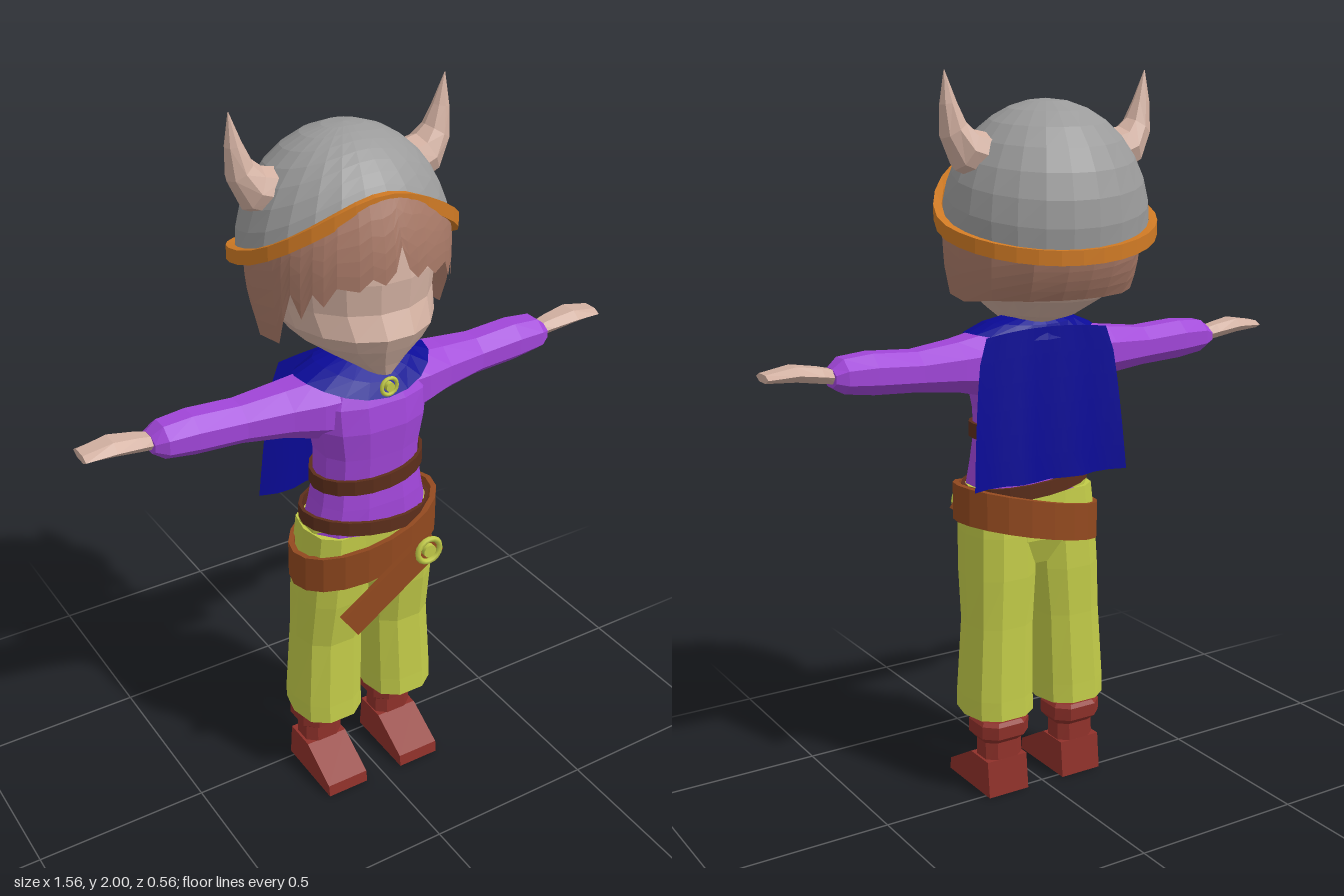
import * as THREE from 'three';

const { sin, cos, PI, sqrt, abs, sign } = Math;
const V = (x, y, z) => new THREE.Vector3(x, y, z);
const range = (n, f) => Array.from({ length: n }, (_, i) => f(i));

const mat = (name, color, side = THREE.FrontSide) => {
  const m = new THREE.MeshStandardMaterial({ color, side });
  m.name = name;
  return m;
};

// Faceted skin over closed rings; flip reverses the winding for mirrored parts
function loft(rings, { caps = true, flip = false } = {}) {
  const pos = [];
  const tri = (a, b, c) => (flip ? [a, c, b] : [a, b, c]).forEach((p) => pos.push(p.x, p.y, p.z));
  const n = rings[0].length;
  for (let i = 0; i < rings.length - 1; i++) {
    for (let j = 0; j < n; j++) {
      const k = (j + 1) % n, lo = rings[i], hi = rings[i + 1];
      tri(lo[j], lo[k], hi[k]);
      tri(lo[j], hi[k], hi[j]);
    }
  }
  if (caps) {
    const first = rings[0], last = rings[rings.length - 1];
    const mid = (r) => r.reduce((s, p) => s.add(p), V(0, 0, 0)).divideScalar(n);
    const a = mid(first), b = mid(last);
    for (let j = 0; j < n; j++) {
      const k = (j + 1) % n;
      tri(a, first[k], first[j]);
      tri(b, last[j], last[k]);
    }
  }
  const g = new THREE.BufferGeometry();
  g.setAttribute('position', new THREE.Float32BufferAttribute(pos, 3));
  g.computeVertexNormals();
  return g;
}

// Horizontal oval; square < 1 makes it boxier
function oval(y, rx, zf, zb, n = 12, cx = 0, square = 0.8) {
  const pw = (v) => sign(v) * abs(v) ** square;
  return range(n, (j) => {
    const a = ((j + 0.5) / n) * 2 * PI;
    return V(cx + rx * pw(sin(a)), y, (zf + zb) / 2 + ((zf - zb) / 2) * pw(cos(a)));
  });
}

// Closed strap of height h and thickness t along path(angle)
function band(path, h, t, n = 20) {
  const ring = (dr, dy) => range(n, (j) => {
    const a = (j / n) * 2 * PI, p = path(a);
    return V(p.x + dr * sin(a), p.y + dy, p.z + dr * cos(a));
  });
  const bottom = ring(t, -h / 2);
  return loft([bottom, ring(t, h / 2), ring(0, h / 2), ring(0, -h / 2), bottom], { caps: false });
}
const tilted = (y, slope, rx, zf, zb) => (a) =>
  V(rx * sin(a), y + slope * rx * sin(a), (zf + zb) / 2 + ((zf - zb) / 2) * cos(a));

// Helmet is an ellipsoid cut off by a wavy brim
const brimY = (a) => 1.62 + 0.07 * cos(a) + 0.11 * Math.max(cos(a), 0) ** 2 - 0.02 * sin(a);
const domePoint = (a, t) => V(0.28 * sin(a) * cos(t), 1.62 + 0.31 * sin(t), -0.02 + 0.255 * cos(a) * cos(t));
const brimT = (a) => Math.asin((brimY(a) - 1.62) / 0.31);

export function createModel() {
  const model = new THREE.Group();
  model.name = 'hornedHelmetVillager';
  const D = THREE.DoubleSide;
  const skin = mat('skin', 0xd2b0a1), hair = mat('hair', 0xa87967, D), steel = mat('steel', 0x9b9b9b);
  const brass = mat('orangeTrim', 0xd07a24), purple = mat('purpleCloth', 0xa146d9);
  const blue = mat('blueCloth', 0x0a0a96, D), darkLeather = mat('darkLeather', 0x5c2e1b);
  const leather = mat('leather', 0x92491f), lime = mat('limeCloth', 0xc2cb48), red = mat('redLeather', 0x8f312a);
  const add = (name, geo, material, x = 0, y = 0, z = 0) => {
    const m = new THREE.Mesh(geo, material);
    m.name = name;
    m.position.set(x, y, z);
    model.add(m);
    return m;
  };

  // Head and neck
  add('head', loft([
    [1.335, 0.04, 0.2, 0.02], [1.37, 0.1, 0.215, -0.1], [1.42, 0.17, 0.24, -0.18], [1.46, 0.198, 0.258, -0.21],
    [1.52, 0.21, 0.228, -0.225], [1.6, 0.22, 0.232, -0.23], [1.7, 0.2, 0.215, -0.2], [1.76, 0.16, 0.17, -0.15],
  ].map(([y, rx, f, b]) => oval(y, rx, f, b, 16, 0, 1))), skin);
  add('neck', new THREE.CylinderGeometry(0.055, 0.065, 0.16, 10), skin, 0, 1.33, 0.06);

  // Hair: ragged fringe at the front, longer at sides and back
  const edge = [[4, 1.64], [10, 1.61], [17, 1.63], [24, 1.6], [36, 1.61], [43, 1.56], [49, 1.59], [56, 1.52],
    [62, 1.58], [68, 1.5], [74, 1.43], [95, 1.42], [120, 1.43], [145, 1.43], [165, 1.43]];
  const lock = [...edge.slice().reverse().map(([d, y]) => [-d, y]), [0, 1.7], ...edge, [180, 1.43]];
  const hairPoint = (a, y) => {
    const up = y > 1.62 ? sqrt(1 - ((y - 1.62) / 0.33) ** 2) : 1;
    const low = Math.max(0, 1.58 - y) ** 2;
    const c = cos(a);
    return V(0.266 * sin(a) * up * (1 - 2.6 * low), y, (c > 0 ? 0.255 : 0.255 * (1 - 9 * low)) * c * up);
  };
  add('hair', loft(range(6, (i) => lock.map(([deg, y0]) => {
    const a = (deg * PI) / 180;
    return hairPoint(a, y0 + (brimY(a) + 0.01 - y0) * (i / 5));
  })), { caps: false }), hair);

  // Helmet dome and brim
  add('helmetDome', loft(range(9, (i) => range(24, (j) => {
    const a = (j / 24) * 2 * PI, t0 = brimT(a);
    return domePoint(a, t0 + (PI / 2 - t0) * (i / 8));
  })), { caps: false }), steel);
  add('helmetBrim', band((a) => domePoint(a, brimT(a)), 0.038, 0.022, 32), brass);

  for (const s of [1, -1]) {
    const flip = s < 0, side = s > 0 ? 'left' : 'right';

    // Horn: rings swept along a rising curve [x, y, radius, tilt]
    add(side + 'Horn', loft([
      [0.19, 1.785, 0.062, 0.2], [0.25, 1.805, 0.057, 0.5], [0.282, 1.855, 0.04, 1.0],
      [0.295, 1.92, 0.023, 1.4], [0.305, 2.0, 0.001, 1.5],
    ].map(([x, y, r, k]) => range(8, (j) => {
      const a = (j / 8) * 2 * PI;
      return V(s * (x - r * cos(a) * sin(k)), y + r * cos(a) * cos(k), -0.032 + r * sin(a));
    })), { flip }), skin);

    // Sleeve and hand: rings along x [x, y low, y high, z back, z front]
    const limb = (rows, n) => loft(rows.map(([x, lo, hi, b, f]) => range(n, (j) => {
      const a = ((j + 0.5) / n) * 2 * PI;
      return V(s * x, (lo + hi) / 2 + ((hi - lo) / 2) * 1.06 * cos(a), (b + f) / 2 + ((f - b) / 2) * 1.06 * sin(a));
    })), { flip });
    add(side + 'Sleeve', limb([
      [0.06, 1.12, 1.335, 0, 0.17], [0.16, 1.15, 1.32, -0.015, 0.16], [0.24, 1.17, 1.307, -0.015, 0.14],
      [0.36, 1.185, 1.294, -0.008, 0.118], [0.49, 1.192, 1.302, -0.008, 0.116],
      [0.57, 1.203, 1.295, -0.002, 0.11], [0.6, 1.222, 1.272, 0.012, 0.09],
    ], 8), purple);
    add(side + 'Hand', limb([
      [0.58, 1.23, 1.265, 0.025, 0.075], [0.63, 1.238, 1.277, 0.015, 0.085], [0.7, 1.25, 1.288, 0.006, 0.096],
      [0.78, 1.255, 1.274, 0.015, 0.09],
    ].map(([x, lo, hi, b, f]) => [x, lo - 0.002, hi + 0.002, b, f]), 6), skin);

    // Trouser leg and ankle
    add(side + 'TrouserLeg', loft([
      [0.235, 0.119, 0.1, 0.172, -0.045], [0.29, 0.119, 0.1, 0.168, -0.042], [0.5, 0.111, 0.095, 0.158, -0.034],
      [0.64, 0.104, 0.1, 0.18, -0.035], [0.76, 0.099, 0.1, 0.19, -0.03], [0.87, 0.095, 0.095, 0.192, -0.02],
    ].map(([y, cx, rx, f, b]) => oval(y, rx, f, b, 10, s * cx))), lime);
    add(side + 'Ankle', new THREE.CylinderGeometry(0.05, 0.05, 0.12, 8), skin, s * 0.118, 0.24, 0.04);

    // Boot: wedge foot, shaft and flared cuff
    const foot = new THREE.Shape([[-0.02, 0], [0.21, 0], [0.205, 0.035], [0.085, 0.105], [-0.01, 0.105]]
      .map(([z, y]) => new THREE.Vector2(z, y)));
    const footGeo = new THREE.ExtrudeGeometry(foot, { depth: 0.128, bevelEnabled: false });
    footGeo.translate(0, 0, -0.064).rotateY(-PI / 2);
    add(side + 'BootFoot', footGeo, red, s * 0.123, 0, 0);
    add(side + 'BootCuff', loft([
      [0.08, 0.062, 0.09, -0.014], [0.155, 0.062, 0.088, -0.01], [0.175, 0.08, 0.113, -0.034],
      [0.212, 0.08, 0.115, -0.036], [0.222, 0.072, 0.105, -0.026],
    ].map(([y, rx, f, b]) => oval(y, rx, f, b, 8, s * 0.121, 0.7))), red);
  }

  // Trouser seat and tunic
  add('trouserSeat', loft([
    [0.665, 0.14, 0.15, 0.0], [0.74, 0.185, 0.185, -0.03], [0.89, 0.185, 0.192, -0.025],
  ].map((r) => oval(...r))), lime);
  add('tunic', loft([
    [0.87, 0.178, 0.205, -0.028], [0.95, 0.16, 0.203, -0.02], [1.03, 0.148, 0.195, -0.01], [1.1, 0.148, 0.2, -0.01],
    [1.18, 0.163, 0.207, -0.015], [1.25, 0.165, 0.197, -0.012], [1.31, 0.13, 0.168, -0.005], [1.34, 0.07, 0.13, 0.01],
  ].map((r) => oval(...r))), purple);

  // Cape: collar draped on the shoulders and a sheet down the back
  const collarRing = (rx, rf, rb, yf, ys, yb) => range(20, (j) => {
    const a = (j / 20) * 2 * PI, c = cos(a);
    return V(rx * sin(a), ys + ((c > 0 ? yf : yb) - ys) * c * c, 0.06 + (c > 0 ? rf : rb) * c);
  });
  add('capeCollar', loft([
    collarRing(0.195, 0.145, 0.095, 1.272, 1.322, 1.3),
    collarRing(0.135, 0.125, 0.085, 1.31, 1.347, 1.34),
    collarRing(0.065, 0.07, 0.06, 1.345, 1.362, 1.365),
  ], { caps: false }), blue);
  const sheet = new THREE.PlaneGeometry(2, 1, 10, 6);
  const p = sheet.attributes.position;
  for (let i = 0; i < p.count; i++) {
    const u = p.getX(i), d = 0.5 - p.getY(i);
    const half = 0.19 + 0.055 * sqrt(d);
    p.setXYZ(i, u * half, 1.335 - 0.42 * d - 0.015 * u * u * (1 - d),
      -0.03 - 0.018 * d + 0.01 * cos(u * 9) * d);
  }
  sheet.computeVertexNormals();
  add('capeSheet', sheet.toNonIndexed(), blue);

  // Belts
  add('chestBelt', band(tilted(1.03, 0.09, 0.153, 0.208, -0.02), 0.042, 0.01), darkLeather);
  add('waistBelt', band(tilted(0.89, -0.1, 0.183, 0.21, -0.034), 0.04, 0.01), darkLeather);
  add('hipBelt', band(tilted(0.8, 0.24, 0.205, 0.215, -0.052), 0.105, 0.016), leather);
  const tail = add('beltTail', new THREE.BoxGeometry(0.33, 0.085, 0.016), leather, -0.01, 0.725, 0.248);
  tail.rotation.z = 0.6;

  // Round cape clasp and belt buckle
  const roundel = (name, x, y, z, r) => {
    add(name + 'Ring', new THREE.TorusGeometry(r * 0.82, r * 0.2, 6, 16), lime, x, y, z);
    const boss = add(name + 'Boss', new THREE.CylinderGeometry(r * 0.45, r * 0.45, 0.014, 10), lime, x, y, z);
    boss.rotation.x = PI / 2;
  };
  roundel('capeClasp', 0, 1.303, 0.203, 0.028);
  roundel('beltBuckle', 0.098, 0.8, 0.262, 0.043);

  return model;
}
